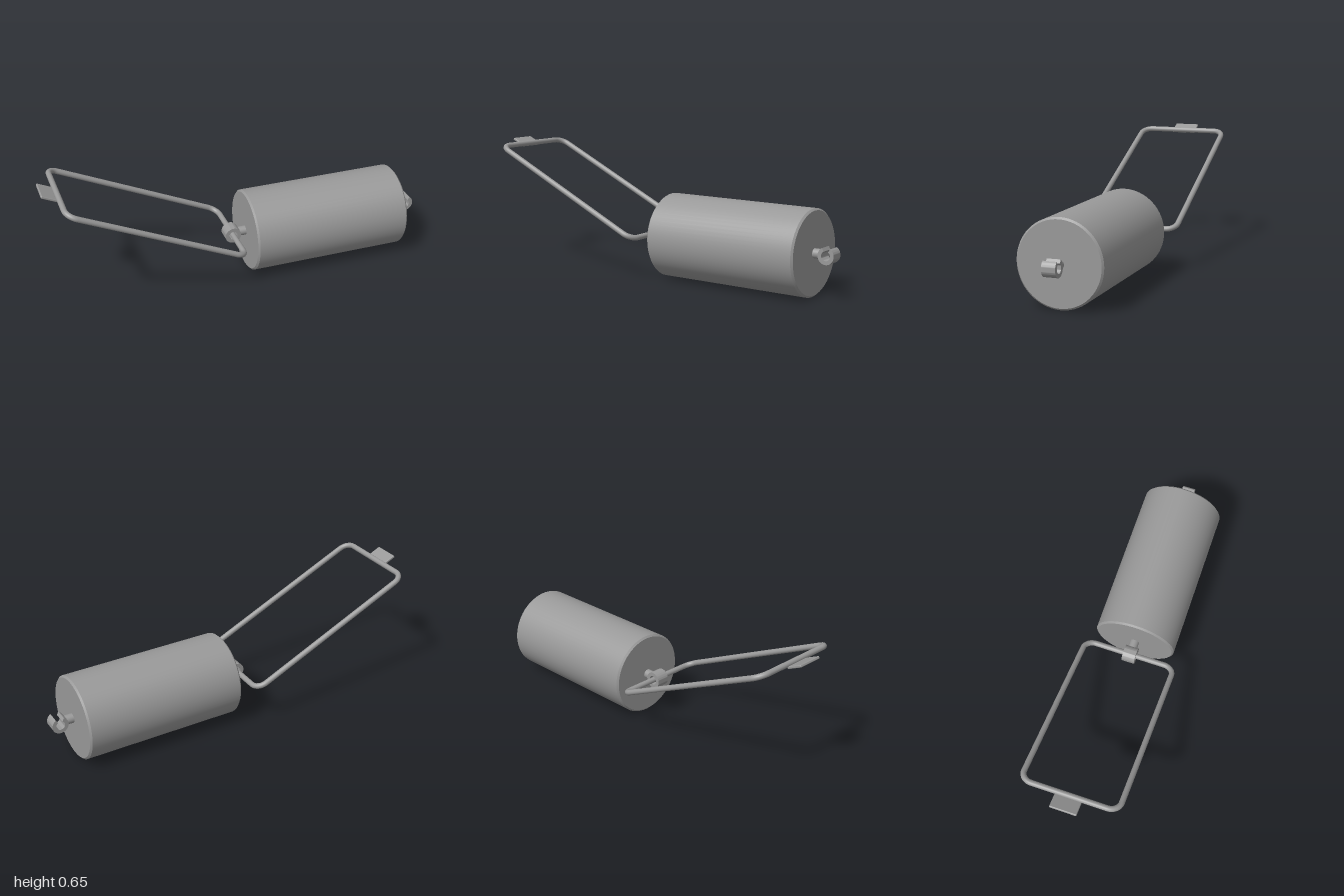
import * as THREE from 'three';
import { toCreasedNormals } from 'three/addons/utils/BufferGeometryUtils.js';
import { RoundedBoxGeometry } from 'three/addons/geometries/RoundedBoxGeometry.js';

const AXIS_Y = 0.216;

export function createModel() {
  const group = new THREE.Group();
  const steel = new THREE.MeshStandardMaterial({ color: 0x999999 });
  steel.name = 'steel grey';

  function add(name, geometry, parent = group) {
    const mesh = new THREE.Mesh(geometry, steel);
    mesh.name = name;
    parent.add(mesh);
    return mesh;
  }

  // Cylinder body with chamfered rims, lying along x
  const R = 0.213, half = 0.4175, bevel = 0.009;
  const profile = [
    [0, -half], [R - bevel, -half], [R, -half + bevel],
    [R, half - bevel], [R - bevel, half], [0, half],
  ].map(([x, y]) => new THREE.Vector2(x, y));
  const body = add('body', toCreasedNormals(new THREE.LatheGeometry(profile, 64), 0.5));
  body.rotation.z = -Math.PI / 2;
  body.position.set(0.4625, AXIS_Y, 0);

  // Stems joining the body to its eye and hook
  function stem(name, x0, x1) {
    const mesh = add(name, new THREE.CylinderGeometry(0.024, 0.024, x1 - x0, 32));
    mesh.rotation.z = Math.PI / 2;
    mesh.position.set((x0 + x1) / 2, AXIS_Y, 0);
  }
  stem('eyeStem', 0.006, 0.05);
  stem('hookStem', 0.875, 0.92);

  // Wide band rolled into a ring; a gap leaves it open as a hook
  function band(name, x, gapStart, gapEnd) {
    const outer = 0.042, inner = 0.023, depth = 0.068;
    const shape = new THREE.Shape();
    if (gapStart === undefined) {
      shape.absarc(0, 0, outer, 0, Math.PI * 2, false);
      shape.holes.push(new THREE.Path().absarc(0, 0, inner, 0, Math.PI * 2, true));
    } else {
      const a = THREE.MathUtils.degToRad(gapEnd);
      const b = THREE.MathUtils.degToRad(gapStart + 360);
      shape.absarc(0, 0, outer, a, b, false);
      shape.absarc(0, 0, inner, b, a, true);
      shape.closePath();
    }
    const geo = new THREE.ExtrudeGeometry(shape, { depth, bevelEnabled: false, curveSegments: 40 });
    geo.translate(0, 0, -depth / 2);
    add(name, toCreasedNormals(geo, 0.6)).position.set(x, AXIS_Y, 0);
  }
  band('eye', -0.03, undefined, undefined);
  band('hook', 0.956, 58, 118);

  // Wire handle: a rounded rectangle pivoting in the eye, tilted upward
  const handle = new THREE.Group();
  handle.name = 'handle';
  handle.position.set(-0.03, AXIS_Y + 0.001, 0);
  handle.rotation.z = THREE.MathUtils.degToRad(-25);
  group.add(handle);

  const L = 0.976, W = 0.242, r = 0.055;
  const corners = [[0, -W], [0, W], [-L, W], [-L, -W]].map(([x, z]) => new THREE.Vector3(x, 0, z));
  const loop = new THREE.CurvePath();
  const toward = (p, q) => p.clone().add(q.clone().sub(p).setLength(r));
  const k = 0.552;
  corners.forEach((p, i) => {
    const q = corners[(i + 1) % 4], next = corners[(i + 2) % 4];
    const start = toward(p, q), end = toward(q, p), after = toward(q, next);
    loop.add(new THREE.LineCurve3(start, end));
    loop.add(new THREE.CubicBezierCurve3(end, end.clone().lerp(q, k), after.clone().lerp(q, k), after));
  });
  add('handleWire', new THREE.TubeGeometry(loop, 260, 0.0142, 16, true), handle);

  // Flat tab under the far bar of the handle
  const tab = add('handleTab', new RoundedBoxGeometry(0.083, 0.013, 0.134, 2, 0.004));
  tab.position.set(-0.96, 0.634, 0);
  tab.rotation.z = handle.rotation.z;

  return group;
}
